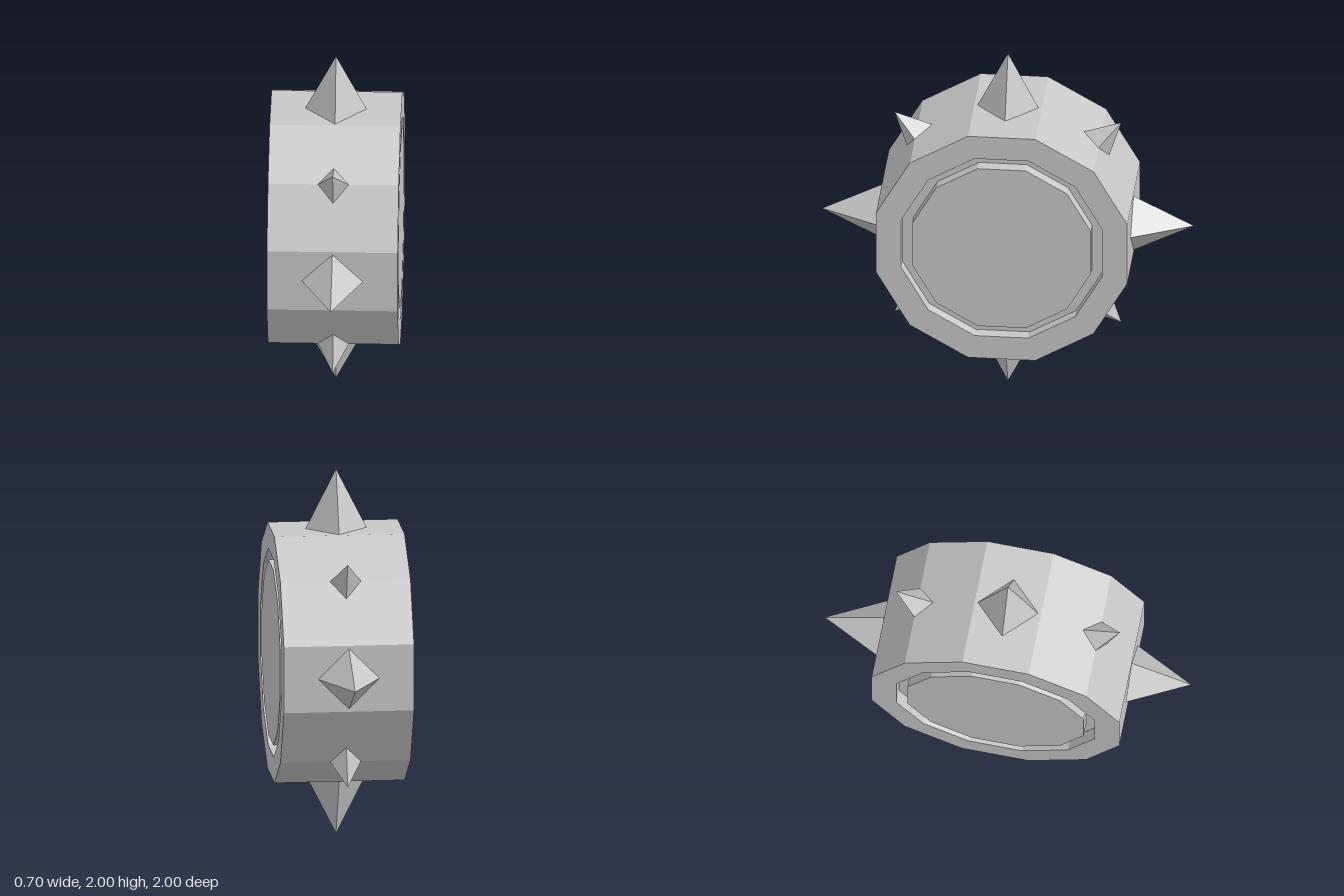
import * as THREE from 'three';

const R = 1 / Math.cos(Math.PI / 12); // flat-to-corner ratio of a 12-sided polygon

function flat(geometry) {
  const g = geometry.toNonIndexed();
  g.computeVertexNormals();
  return g;
}

export function createModel() {
  const model = new THREE.Group();
  model.name = 'spikedWheel';
  const grey = new THREE.MeshStandardMaterial({ color: 0xc8c8c8, flatShading: true });
  grey.name = 'light grey';

  const wheel = new THREE.Group();
  wheel.name = 'wheel';
  wheel.position.y = 1;
  model.add(wheel);

  // Twelve-sided drum with a narrow groove around the hub on each side
  const half = 0.35, groove = 0.07;
  const side = [[0, half], [0.48, half], [0.48, half - groove], [0.54, half - groove], [0.54, half], [0.675, half]];
  const profile = [
    ...side.map(([r, y]) => new THREE.Vector2(r * R, -y)),
    ...side.slice().reverse().map(([r, y]) => new THREE.Vector2(r * R, y)),
  ];
  const drumGeometry = new THREE.LatheGeometry(profile, 12, Math.PI / 12);
  drumGeometry.rotateZ(-Math.PI / 2);
  const drum = new THREE.Mesh(flat(drumGeometry), grey);
  drum.name = 'drum';
  wheel.add(drum);

  // Alternating large and small four-sided spikes, set slightly into the drum
  const base = 0.65;
  for (let i = 0; i < 8; i++) {
    const large = i % 2 === 0;
    const height = (large ? 1 : 0.863) - base;
    const geometry = new THREE.ConeGeometry(height * 0.505, height, 4);
    geometry.translate(0, base + height / 2, 0);
    const spike = new THREE.Mesh(flat(geometry), grey);
    spike.name = large ? 'largeSpike' : 'smallSpike';
    spike.rotation.x = i * Math.PI / 4;
    wheel.add(spike);
  }
  return model;
}
